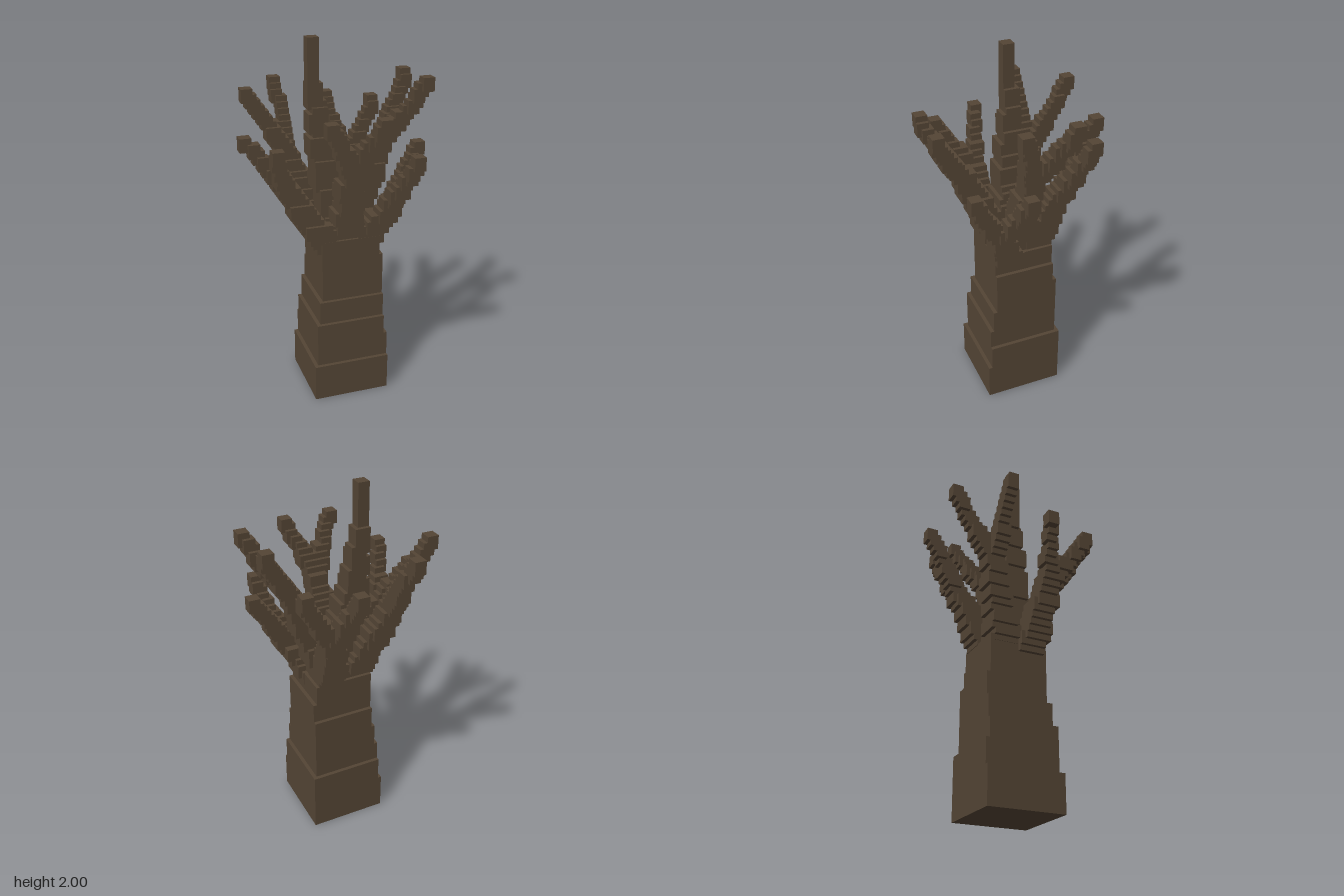
import * as THREE from 'three';
import { mergeGeometries } from 'three/addons/utils/BufferGeometryUtils.js';

const U = 0.0208; // block grid unit
const bark = new THREE.MeshStandardMaterial({ color: 0x544535, flatShading: true });

const snap = (v) => Math.round(v / U) * U;

function block(x0, x1, y0, y1, z0, z1) {
  return new THREE.BoxGeometry(x1 - x0, y1 - y0, z1 - z0)
    .translate((x0 + x1) / 2, (y0 + y1) / 2, (z0 + z1) / 2);
}

// Stepped run of blocks from a to b, tapering from width wa to wb.
// Each point is the centre of a block's flat top.
function steps(a, b, wa, wb) {
  const start = new THREE.Vector3(...a), end = new THREE.Vector3(...b);
  const reach = Math.max(...end.clone().sub(start).toArray().map(Math.abs));
  const count = Math.max(1, Math.round(reach / (1.5 * U)));
  return Array.from({ length: count + 1 }, (_, i) => {
    const p = start.clone().lerp(end, i / count);
    const width = Math.round((wa + (wb - wa) * i / count) / U) * U;
    const x = snap(p.x - width / 2), z = snap(p.z - width / 2);
    return block(x, x + width, p.y - 0.075, p.y, z, z + width);
  });
}

// Trunk: each side moves in by one unit at its own heights
function trunkGeometry() {
  const insets = {
    right: [0.21, 0.46, 0.59],
    left: [0.35, 0.83, 0.94],
    back: [0.35, 0.72, 0.94],
    front: [0.21, 0.46, 0.59, 0.94],
  };
  const levels = [...new Set([0, ...Object.values(insets).flat(), 1.02])].sort((p, q) => p - q);
  const inset = (side, y) => U * insets[side].filter((h) => h <= y).length;
  return mergeGeometries(levels.slice(0, -1).map((y, i) => block(
    -0.185 + inset('right', y), 0.245 - inset('left', y), y, levels[i + 1],
    -0.205 + inset('back', y), 0.23 - inset('front', y),
  )));
}

export function createModel() {
  const tree = new THREE.Group();
  tree.name = 'tree';
  const add = (name, geometry) => {
    const mesh = new THREE.Mesh(geometry, bark);
    mesh.name = name;
    tree.add(mesh);
  };

  add('trunk', trunkGeometry());

  // Central leader
  add('leader', mergeGeometries([
    ...steps([0.02, 1.02, 0], [-0.07, 1.42, -0.02], 0.21, 0.125),
    ...steps([-0.07, 1.42, -0.02], [-0.11, 1.86, -0.04], 0.125, 0.062),
    ...steps([-0.11, 1.86, -0.04], [-0.11, 2, -0.04], 0.062, 0.062),
  ]));

  // Limbs: a thick stem from base to fork, then a slender branch to each tip
  const addLimb = (name, base, fork, ...tips) => add(name, mergeGeometries([
    ...steps(base, fork, 0.15, 0.104),
    ...tips.flatMap((tip) => steps(fork, tip, 0.083, 0.062)),
  ]));
  addLimb('backRightLimb', [-0.05, 0.98, -0.07], [-0.2, 1.35, -0.19],
    [-0.21, 1.72, -0.42], [-0.42, 1.72, -0.2]);
  addLimb('backLeftLimb', [0.1, 0.98, -0.08], [0.15, 1.28, -0.24],
    [0.085, 1.61, -0.44], [0.33, 1.6, -0.32]);
  addLimb('leftLimb', [0.09, 1, 0], [0.26, 1.44, -0.01],
    [0.455, 1.78, -0.155], [0.475, 1.785, 0.115]);
  addLimb('frontLeftLimb', [0.13, 0.94, 0.08], [0.25, 1.13, 0.16],
    [0.455, 1.43, 0.065], [0.345, 1.43, 0.325]);
  addLimb('frontLimb', [0.03, 0.99, 0.08], [0, 1.4, 0.27],
    [-0.155, 1.675, 0.435], [0.11, 1.675, 0.435]);
  addLimb('rightLimb', [-0.08, 0.94, 0.08], [-0.29, 1.26, 0.1],
    [-0.48, 1.52, 0.02], [-0.395, 1.52, 0.28]);
  return tree;
}
